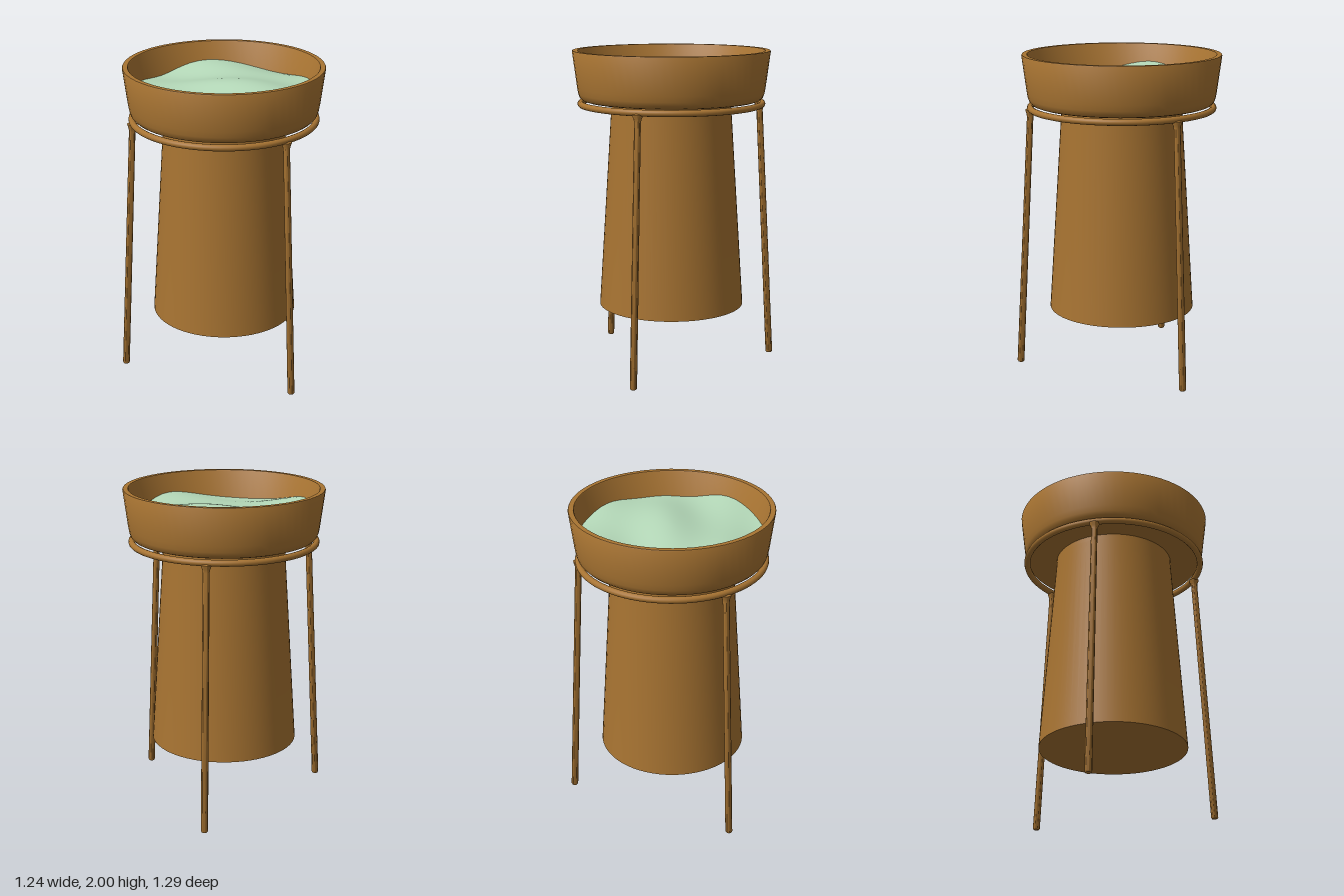
import * as THREE from 'three';
import { mergeVertices, toCreasedNormals } from 'three/addons/utils/BufferGeometryUtils.js';

const wood = new THREE.MeshStandardMaterial({ color: 0xa87432 });
const waterMat = new THREE.MeshStandardMaterial({ color: 0xb4d8b8, side: THREE.DoubleSide });

function add(parent, name, geometry, material = wood) {
  const mesh = new THREE.Mesh(geometry, material);
  mesh.name = name;
  parent.add(mesh);
  return mesh;
}

// Revolve a profile, keeping corners sharp
function lathe(points) {
  const profile = points.map(([r, y]) => new THREE.Vector2(r, y));
  return toCreasedNormals(new THREE.LatheGeometry(profile, 64), 0.7);
}

// Gently rolling water surface filling the basin
function waterGeometry() {
  let g = new THREE.RingGeometry(0, 0.57, 64, 20);
  g.rotateX(-Math.PI / 2);
  const p = g.attributes.position;
  for (let i = 0; i < p.count; i++) {
    const x = p.getX(i), z = p.getZ(i);
    const wave = 0.018 * Math.sin(7 * x + 2 * z + 0.6)
      + 0.016 * Math.cos(8 * z - 3 * x)
      + 0.008 * Math.sin(13 * x - 9 * z + 1);
    p.setY(i, 1.855 + wave);
  }
  g.deleteAttribute('uv');
  g.deleteAttribute('normal');
  g = mergeVertices(g, 1e-4);
  g.computeVertexNormals();
  return g;
}

export function createModel() {
  const model = new THREE.Group();
  model.name = 'standingBasin';
  // The three-legged stand is not symmetric, so the shared axis sits off centre
  const body = new THREE.Group();
  body.name = 'body';
  body.position.set(0.0125, 0, -0.0385);
  model.add(body);

  // Tapered pedestal, closed at the bottom, running up into the basin
  add(body, 'pedestal', lathe([[0, 0.38], [0.46, 0.38], [0.375, 1.66], [0.374, 1.72]]));

  // Basin with rounded lower edge, flat rim and hollow inside
  add(body, 'basin', lathe([
    [0, 1.69], [0.54, 1.69], [0.56, 1.697], [0.574, 1.712], [0.582, 1.735], [0.588, 1.77],
    [0.617, 1.995], [0.614, 2], [0.584, 2], [0.58, 1.995], [0.556, 1.76], [0.54, 1.73], [0, 1.73],
  ]));

  add(body, 'water', waterGeometry(), waterMat);

  // Support ring under the basin
  const ring = add(body, 'supportRing', new THREE.TorusGeometry(0.568, 0.02, 12, 80));
  ring.rotation.x = Math.PI / 2;
  ring.position.y = 1.67;

  // Three splayed legs, flared where they meet the ring and rounded at the foot
  const splay = Math.atan2(0.66 - 0.568, 1.67);
  const length = 1.67 / Math.cos(splay);
  const legGeometry = lathe([
    [0, -length], [0.017, -length], [0.022, -length + 0.008],
    [0.02, -0.06], [0.023, -0.04], [0.03, -0.024], [0.032, -0.015], [0, 0.004],
  ]);
  for (let i = 0; i < 3; i++) {
    const pivot = new THREE.Group();
    pivot.name = 'leg' + (i + 1);
    pivot.rotation.y = -THREE.MathUtils.degToRad(83.9 + 120 * i);
    body.add(pivot);
    const leg = add(pivot, 'legRod', legGeometry);
    leg.position.set(0.566, 1.672, 0);
    leg.rotation.z = splay;
  }
  return model;
}
